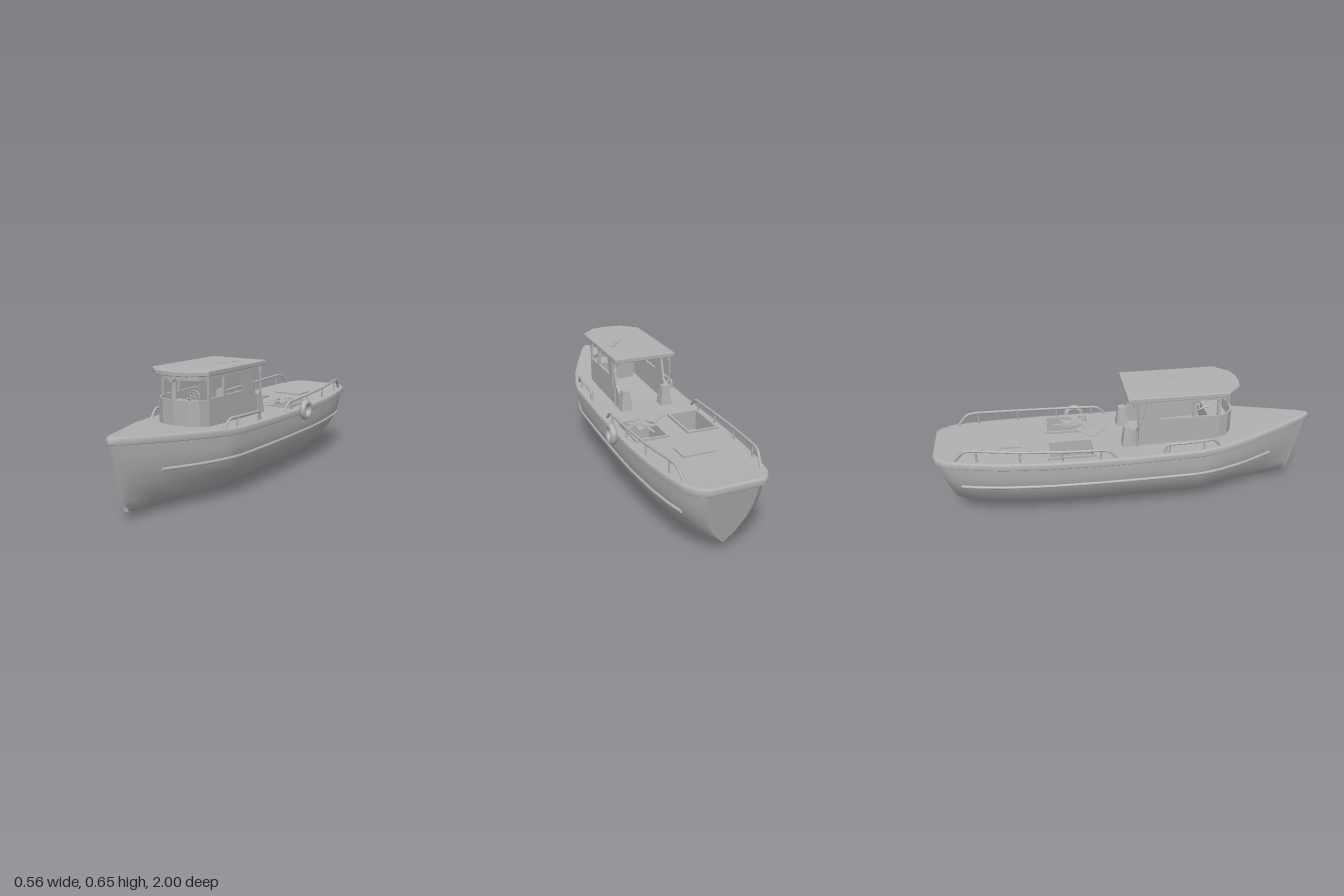
import * as THREE from 'three';

const grey = new THREE.MeshStandardMaterial({ color: 0xb0b0b0, side: THREE.DoubleSide });
grey.name = 'grey';

// stations from bow to stern: z, half width, deck height, keel height, leanness below
const STATIONS = [
  [1, 0.012, 0.405, 0.055, 1.2], [0.96, 0.04, 0.402, 0.048, 1.6], [0.8, 0.115, 0.39, 0.03, 1.7],
  [0.6, 0.2, 0.378, 0.012, 1.4], [0.45, 0.245, 0.368, 0.004, 1.15], [0.35, 0.262, 0.364, 0, 1],
  [0, 0.265, 0.357, 0, 1], [-0.2, 0.265, 0.357, 0, 1], [-0.43, 0.262, 0.36, 0, 1],
  [-0.65, 0.247, 0.365, 0.008, 1.05], [-0.82, 0.225, 0.372, 0.02, 1.15], [-0.93, 0.2, 0.377, 0.03, 1.3],
  [-0.98, 0.165, 0.38, 0.04, 1.4], [-1, 0.135, 0.382, 0.05, 1.5],
];
// hull cross-section: width fraction, height fraction
const SECTION = [[0, 0], [0.56, 0.18], [0.84, 0.43], [0.96, 0.64], [1, 0.82], [1, 1]];

function stationAt(z) {
  let i = 0;
  while (i < STATIONS.length - 2 && STATIONS[i + 1][0] > z) i++;
  const a = STATIONS[i], b = STATIONS[i + 1], t = (z - a[0]) / (b[0] - a[0]);
  return a.map((v, k) => v + (b[k] - v) * t);
}

function hullPoint([z, w, top, keel, lean], [f, h]) {
  const rake = Math.max(0, Math.abs(z) - 0.6) * 0.18 * (1 - h);
  return [Math.max(w - 0.015, w * 0.6) * f ** lean, keel + (top - 0.03 - keel) * h, z * 0.985 - Math.sign(z) * rake];
}

// surface through rows of points, skipping any cell that skip() rejects
function loft(rows, closed = false, skip = () => false) {
  const n = rows[0].length, index = [];
  for (let i = 0; i < rows.length - (closed ? 0 : 1); i++) {
    for (let j = 0; j < n - 1; j++) {
      if (skip(i, j)) continue;
      const a = i * n + j, b = ((i + 1) % rows.length) * n + j;
      index.push(a, a + 1, b, b, a + 1, b + 1);
    }
  }
  const g = new THREE.BufferGeometry();
  g.setAttribute('position', new THREE.Float32BufferAttribute(rows.flat(2), 3));
  g.setIndex(index);
  g.computeVertexNormals();
  return g;
}

export function createModel() {
  const model = new THREE.Group();
  model.name = 'workBoat';
  const boat = new THREE.Group();
  boat.name = 'boat';
  boat.position.x = -0.016;
  model.add(boat);

  const add = (name, geometry, x = 0, y = 0, z = 0) => {
    const m = new THREE.Mesh(geometry, grey);
    m.name = name;
    m.position.set(x, y, z);
    boat.add(m);
    return m;
  };
  const box = (name, w, h, d, x, y, z) => add(name, new THREE.BoxGeometry(w, h, d), x, y, z);
  const tube = (name, pts, r, smooth = false) => {
    const v = pts.map((p) => new THREE.Vector3(...p));
    let path = new THREE.CatmullRomCurve3(v, false, 'catmullrom', 0.3);
    if (!smooth) {
      path = new THREE.CurvePath();
      for (let i = 1; i < v.length; i++) path.add(new THREE.LineCurve3(v[i - 1], v[i]));
    }
    return add(name, new THREE.TubeGeometry(path, 40, r, 8), 0, 0, 0);
  };

  // hull shell, stem and transom
  const rings = STATIONS.map((s) => {
    const half = SECTION.map((p) => hullPoint(s, p));
    return [...half.slice(1).reverse().map(([x, y, z]) => [-x, y, z]), ...half];
  });
  add('hull', loft(rings));
  const endCap = (s, flip) => loft(SECTION.map((p) => {
    const [x, y, z] = hullPoint(s, p);
    return flip ? [[x, y, z], [-x, y, z]] : [[-x, y, z], [x, y, z]];
  }).reverse());
  add('stem', endCap(STATIONS[0], true));
  add('transom', endCap(STATIONS[STATIONS.length - 1], false));

  // gunwale lip running all the way round
  const lip = [[0.014, 0], [0.005, -0.001], [0, -0.008], [0, -0.03], [0.003, -0.034], [0.017, -0.034]];
  const lipRow = (s, side) => lip.map(([inset, dy]) =>
    [side * Math.max(s[1] - inset, s[1] * 0.6), s[2] + dy, s[0] * (1 - inset)]);
  add('gunwale', loft([...STATIONS.map((s) => lipRow(s, 1)),
    ...[...STATIONS].reverse().map((s) => lipRow(s, -1))], true));

  // deck with two open hatches
  const columns = [-1, -0.215, -0.06, 0.05, 0.21, 1];
  const deckRows = STATIONS.map((s) => {
    const w = Math.max(s[1] - 0.014, s[1] * 0.6);
    return columns.map((x) => [THREE.MathUtils.clamp(x, -w, w), s[2], s[0] * 0.986]);
  });
  add('deck', loft(deckRows, false, (i, j) => i === 7 && (j === 1 || j === 3)));

  for (const [x0, x1] of [[-0.215, -0.06], [0.05, 0.21]]) {
    const cx = (x0 + x1) / 2, w = x1 - x0, cz = -0.311, d = 0.23;
    box('hatchFloor', w, 0.004, d, cx, 0.26, cz);
    for (const s of [-1, 1]) {
      box('hatchWall', 0.004, 0.1, d, cx + s * w / 2, 0.31, cz);
      box('hatchWall', w, 0.1, 0.004, cx, 0.31, cz + s * d / 2);
      box('hatchRim', 0.012, 0.014, d + 0.012, cx + s * w / 2, 0.363, cz);
      box('hatchRim', w + 0.012, 0.014, 0.012, cx, 0.363, cz + s * d / 2);
    }
  }
  box('sternCover', 0.17, 0.008, 0.11, 0, 0.369, -0.615).rotation.x = 0.03;

  // loose strips over the right-hand hatch and on the roof
  let seed = 7;
  const rand = () => (seed = (seed * 16807) % 2147483647) / 2147483647;
  for (let i = 0; i < 13; i++) {
    const strip = box('looseStrip', 0.07 + rand() * 0.08, 0.002, 0.012 + rand() * 0.012,
      0.07 + rand() * 0.11, 0.373 + rand() * 0.012, -0.4 + rand() * 0.18);
    strip.rotation.set(0, rand() * Math.PI, (rand() - 0.5) * 0.1);
  }
  box('loosePlate', 0.12, 0.003, 0.12, 0.045, 0.372, -0.19).rotation.set(0.02, 0.75, 0);
  for (const [x, z, len, turn] of [[0.09, 0.2, 0.12, 0.9], [0.11, 0.19, 0.06, -0.4], [0.06, 0.25, 0.07, 0.6]]) {
    box('roofStrip', len, 0.002, 0.012, x, 0.645, z).rotation.set(0, turn, 0.08);
  }

  // cabin roof
  const roof = new THREE.Shape([[-0.163, 0.016], [0.163, 0.016], [0.163, -0.495], [0.09, -0.565],
    [0.03, -0.579], [-0.03, -0.579], [-0.09, -0.565], [-0.163, -0.495]].map((p) => new THREE.Vector2(...p)));
  add('cabinRoof', new THREE.ExtrudeGeometry(roof, {
    depth: 0.017, bevelSize: 0.004, bevelThickness: 0.004, bevelSegments: 2,
  }), 0, 0.616, 0).rotation.x = -Math.PI / 2;

  // cabin sides with windows
  const points = (list) => list.map((p) => new THREE.Vector2(...p));
  const side = new THREE.Shape(points([[0.46, 0.355], [0.46, 0.615], [0.09, 0.615], [0.045, 0.47], [0.0, 0.44], [0, 0.35]]));
  side.holes.push(new THREE.Path(points([[0.445, 0.5], [0.335, 0.5], [0.335, 0.59], [0.445, 0.59]])));
  side.holes.push(new THREE.Path(points([[0.318, 0.5], [0.15, 0.5], [0.172, 0.59], [0.318, 0.59]])));
  const sideWall = new THREE.ExtrudeGeometry(side, { depth: 0.012, bevelEnabled: false });

  // faceted cabin front, drawn as panels between plan points
  const panel = (name, a, b, y0, y1) => {
    const dx = b[0] - a[0], dz = b[1] - a[1];
    const m = box(name, Math.hypot(dx, dz) + 0.004, y1 - y0, 0.01, (a[0] + b[0]) / 2, (y0 + y1) / 2, (a[1] + b[1]) / 2);
    m.rotation.y = -Math.atan2(dz, dx);
  };
  for (const s of [-1, 1]) {
    add('cabinSide', sideWall, s * 0.135 + 0.006, 0, 0).rotation.y = -Math.PI / 2;
    const plan = [[0.136, 0.455], [0.115, 0.505], [0.07, 0.535], [0, 0.547]];
    for (let i = 0; i < 3; i++) {
      const a = [s * plan[i][0], plan[i][1]], b = [s * plan[i + 1][0], plan[i + 1][1]];
      panel('cabinFront', a, b, 0.36, 0.496);
      panel('cabinHeader', a, b, 0.59, 0.616);
    }
    // tapered lockers behind the cabin
    const locker = add('sternLocker', new THREE.CylinderGeometry(0.026, 0.045, 0.105, 4, 1).toNonIndexed(), s * 0.112, 0.408, -0.015);
    locker.geometry.rotateY(Math.PI / 4);
    locker.geometry.computeVertexNormals();
    // roof poles and side lamps
    tube('roofPole', [[s * 0.162, 0.615, 0.03], [s * 0.162, 0.475, 0.03], [s * 0.15, 0.455, 0.03], [s * 0.15, 0.36, 0.03]], 0.006);
    add('sideLamp', new THREE.CylinderGeometry(0.012, 0.012, 0.026, 8), s * 0.152, 0.598, 0.02);

    // handrails on the foredeck and along the stern
    const rail = (name, pts, posts) => {
      const at = (z, y) => [s * (stationAt(z)[1] - 0.026), y, z];
      tube(name, pts.map(([z, y]) => at(z, y)), 0.007);
      for (const [z, y] of posts) {
        const h = y - stationAt(z)[2];
        add(name + 'Post', new THREE.CylinderGeometry(0.005, 0.005, h, 8), at(z, 0)[0], y - h / 2, z);
      }
    };
    rail('foreRail', [[0.45, 0.365], [0.42, 0.402], [0.4, 0.41], [0.3, 0.408], [0.18, 0.407], [0.165, 0.4], [0.155, 0.36]],
      [[0.36, 0.408], [0.18, 0.406]]);
    rail('sternRail', [[-0.09, 0.358], [-0.125, 0.395], [-0.15, 0.403], [-0.35, 0.41], [-0.57, 0.42], [-0.8, 0.435],
      [-0.84, 0.43], [-0.89, 0.375]], [[-0.17, 0.403], [-0.36, 0.41], [-0.57, 0.42], [-0.78, 0.433]]);

    // rubbing strake along the hull side
    const strake = [];
    for (let i = 0; i <= 20; i++) {
      const z = 0.79 - i * 0.0845, [x, , pz] = hullPoint(stationAt(z), [0.965, 0.66]);
      strake.push([s * (x + 0.001), 0.215 + 0.02 * Math.max(0, z) ** 2 + 0.012 * Math.min(0, z) ** 2, pz]);
    }
    tube('rubbingStrake', strake, 0.008, true);
  }

  // centre post and front lamp
  const post = add('centrePost', new THREE.CylinderGeometry(0.011, 0.017, 0.12, 8), 0, 0.545, 0.545);
  post.scale.z = 0.6;
  add('frontLamp', new THREE.CylinderGeometry(0.016, 0.016, 0.025, 6), 0, 0.595, 0.555).rotation.x = Math.PI / 2;

  // helm inside the cabin
  box('helmConsole', 0.2, 0.11, 0.1, 0, 0.42, 0.46);
  add('steeringWheel', new THREE.TorusGeometry(0.028, 0.004, 8, 24), 0, 0.487, 0.38);
  for (let i = 0; i < 3; i++) box('wheelSpoke', 0.054, 0.004, 0.004, 0, 0.487, 0.38).rotation.z = i * Math.PI / 3;
  add('wheelShaft', new THREE.CylinderGeometry(0.005, 0.005, 0.07, 8), 0, 0.475, 0.41).rotation.x = 1.25;

  // tyre fender hung over the left side
  const tyre = add('tyreFender', new THREE.TorusGeometry(0.04, 0.016, 12, 32), 0.279, 0.346, -0.262);
  tyre.rotation.y = Math.PI / 2;
  tyre.scale.z = 1.1;
  return model;
}
